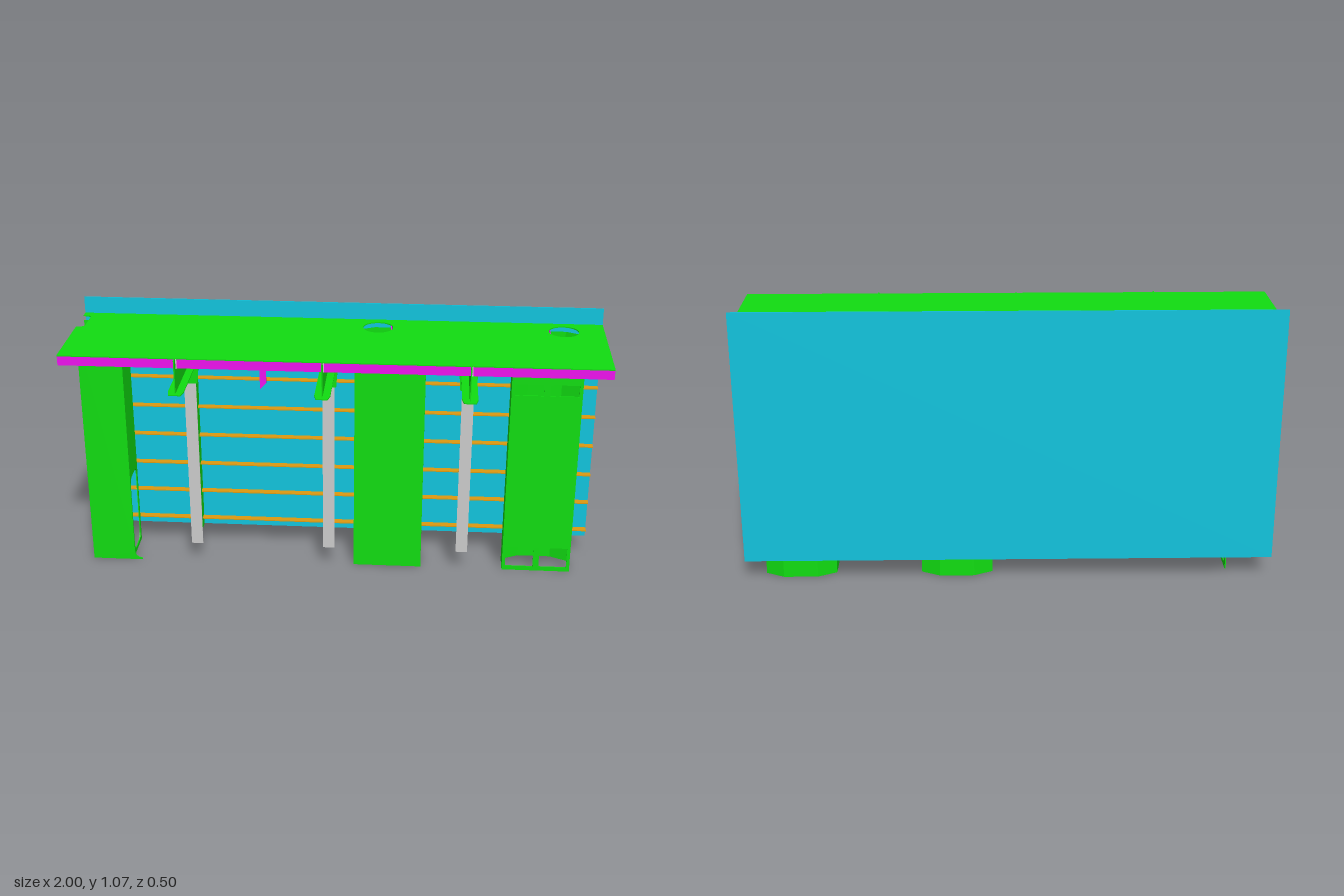
import * as THREE from 'three';

const mat = (color) => new THREE.MeshStandardMaterial({ color, side: THREE.DoubleSide });
const GREEN = mat(0x11dd11), BLUE = mat(0x11c4dd), MAGENTA = mat(0xee11ee);
const YELLOW = mat(0xdd9a11), GREY = mat(0xcccccc);
const T = 0.004; // plate thickness

const path = (pts) => pts.map(([a, b]) => new THREE.Vector2(a, b));
const rect = (a0, a1, b0, b1) => [[a0, b0], [a1, b0], [a1, b1], [a0, b1]];
const oval = (a, b, ra, rb) => Array.from({ length: 32 }, (_, i) => {
  const t = (i / 32) * Math.PI * 2;
  return [a + ra * Math.cos(t), b + rb * Math.sin(t)];
});
// rounded rectangle outline
const roundRect = (a0, a1, b0, b1, r) => {
  const pts = [];
  [[a1 - r, b1 - r], [a0 + r, b1 - r], [a0 + r, b0 + r], [a1 - r, b0 + r]].forEach(([a, b], q) => {
    for (let i = 0; i <= 5; i++) {
      const t = (q + i / 5) * Math.PI / 2;
      pts.push([a + r * Math.cos(t), b + r * Math.sin(t)]);
    }
  });
  return pts;
};

// Flat plate square to an axis: x takes (z, y), y takes (x, z), z takes (x, y)
function plate(name, material, axis, pos, pts, holes = [], t = T) {
  const shape = new THREE.Shape(path(pts));
  holes.forEach((h) => shape.holes.push(new THREE.Path(path(h))));
  const g = new THREE.ExtrudeGeometry(shape, { depth: t, bevelEnabled: false });
  g.translate(0, 0, -t / 2);
  if (axis === 'x') g.rotateY(-Math.PI / 2).translate(pos, 0, 0);
  if (axis === 'y') g.rotateX(Math.PI / 2).translate(0, pos, 0);
  if (axis === 'z') g.translate(0, 0, pos);
  const m = new THREE.Mesh(g, material);
  m.name = name;
  return m;
}

// Open vertical wall following a plan line of [x, z] points
function wall(name, pts, y0, y1) {
  const pos = [];
  for (let i = 0; i < pts.length - 1; i++) {
    const [a, c] = pts[i], [b, d] = pts[i + 1];
    pos.push(a, y0, c, b, y0, d, b, y1, d, a, y0, c, b, y1, d, a, y1, c);
  }
  const g = new THREE.BufferGeometry();
  g.setAttribute('position', new THREE.Float32BufferAttribute(pos, 3));
  g.computeVertexNormals();
  const m = new THREE.Mesh(g, GREEN);
  m.name = name;
  return m;
}

const BACK = -0.247, FACE = -0.077;
const stiffY = [0.122, 0.247, 0.371, 0.497, 0.621, 0.746, 0.871];

// Frame with notches for the plate stiffeners, face bar and deck bracket
function frame(x) {
  const g = new THREE.Group();
  g.name = 'frame';
  const outline = [[FACE, 0.998], [FACE, 0.085], [BACK, 0.085]];
  stiffY.forEach((y) => outline.push([BACK, y - 0.007], [-0.217, y - 0.007], [-0.217, y + 0.007], [BACK, y + 0.007]));
  outline.push([BACK, 0.998]);
  g.add(plate('frameWeb', GREEN, 'x', x, outline,
    [oval(-0.15, 0.79, 0.032, 0.058), oval(-0.15, 0.31, 0.032, 0.058)]));
  g.add(plate('frameFaceBar', GREY, 'z', FACE, rect(x - 0.023, x + 0.023, 0.085, 0.8)));
  g.add(plate('bracketFacePlate', GREEN, 'z', FACE + 0.003,
    [[x - 0.03, 0.785], [x + 0.03, 0.785], [x + 0.044, 0.96], [x - 0.044, 0.96]]));
  // cantilever web with openings where the deck bars pass
  const web = [[FACE, 0.998], [FACE, 0.87], [0.232, 0.87], [0.232, 0.998]];
  for (const z of [0.2, 0.065]) {
    web.push([z + 0.012, 0.998], [z + 0.005, 0.96], [z, 0.952], [z - 0.01, 0.952], [z - 0.014, 0.96], [z - 0.012, 0.998]);
    g.add(plate('collarPlate', GREY, 'x', x + 0.005, rect(z - 0.008, z + 0.012, 0.96, 0.998)));
  }
  g.add(plate('bracketWeb', GREEN, 'x', x, web));
  g.add(plate('bracketFlange', GREEN, 'y', 0.87,
    [[x - 0.029, -0.1], [x + 0.029, -0.1], [x + 0.029, 0.215], [x + 0.022, 0.248], [x - 0.022, 0.248], [x - 0.029, 0.215]]));
  return g;
}

// Hollow column with chamfered back corners
function column(x0, x1, windows) {
  const g = new THREE.Group();
  g.name = 'column';
  const c = (x0 + x1) / 2, holes = [];
  if (windows) {
    for (const [b0, b1] of [[0.018, 0.104], [0.762, 0.808]])
      holes.push(rect(x0 + 0.013, c - 0.012, b0, b1), rect(c + 0.012, x1 - 0.013, b0, b1));
  }
  g.add(plate('columnFront', GREEN, 'z', -0.097, rect(x0, x1, 0, 0.998), holes));
  g.add(wall('columnSide', [[x0, -0.097], [x0, -0.18]], 0, 0.998));
  g.add(wall('columnSide', [[x1, -0.18], [x1, -0.097]], 0, 0.998));
  g.add(wall('columnBack', [[x0, -0.18], [x0 + 0.07, -0.215], [x1 - 0.07, -0.215], [x1, -0.18]], 0, 0.98));
  g.add(innerBar(c, -0.099));
  g.add(plate('columnTopBracket', MAGENTA, 'x', c,
    [[-0.1, 0.998], [-0.1, 0.98], [-0.215, 0.98], [BACK, 0.998]]));
  return g;
}

// Flat bar with tapered ends behind a column front
const innerBar = (x, z) => plate('columnStiffener', MAGENTA, 'x', x,
  [[z, 0.005], [z - 0.019, 0.04], [z - 0.019, 0.92], [z, 0.955]]);

export function createModel() {
  const model = new THREE.Group();
  model.name = 'stiffenedPanel';

  // Shell plate and its horizontal stiffeners
  model.add(plate('shellPlate', BLUE, 'z', BACK - 0.001, rect(-1, 1, 0.085, 1.065)));
  for (const y of stiffY)
    model.add(plate('shellStiffener', YELLOW, 'y', y, rect(-1, 1, BACK, -0.218)));

  // Deck with two round openings and an edge notch
  const notch = [[-1, -0.215], [-0.98, -0.215], [-0.968, -0.203], [-0.968, -0.102], [-0.98, -0.09], [-1, -0.09]];
  model.add(plate('deck', GREEN, 'y', 0.998,
    [[-1, BACK], ...notch, [-1, 0.212], [1, 0.212], [1, BACK]],
    [oval(0.147, -0.16, 0.057, 0.057), oval(0.847, -0.16, 0.057, 0.057)]));
  for (const z of [0.205, 0.065, -0.083])
    model.add(plate('deckBar', MAGENTA, 'z', z, rect(-1, 1, 0.96, 0.997), [], 0.006));

  for (const x of [-0.57, -0.037, 0.495]) model.add(frame(x));
  model.add(column(0.062, 0.333, false), column(0.66, 0.93, true));

  // Half column at the end, open on its outer side
  const half = new THREE.Group();
  half.name = 'halfColumn';
  half.add(plate('halfColumnFront', GREEN, 'z', FACE, [
    [-1, 0], [-0.8, 0], [-0.8, 0.006], [-0.815, 0.01], [-0.826, 0.02], [-0.83, 0.035],
    [-0.83, 0.935], [-0.826, 0.948], [-0.815, 0.957], [-0.8, 0.96], [-0.8, 0.998], [-1, 0.998]]));
  half.add(plate('halfColumnSide', GREEN, 'x', -0.832, rect(-0.215, -0.079, 0.02, 0.998),
    [roundRect(-0.2, -0.083, 0.035, 0.36, 0.03)]));
  half.add(wall('halfColumnBack', [[-0.832, -0.18], [-0.9, -0.215], [-1, -0.215]], 0.36, 0.98));
  half.add(innerBar(-0.965, FACE));
  model.add(half);

  // Hanging bar between two frames
  model.add(plate('hangingBar', MAGENTA, 'z', -0.1,
    [[-0.303, 0.757], [-0.278, 0.785], [-0.278, 0.997], [-0.303, 0.997]]));
  return model;
}
